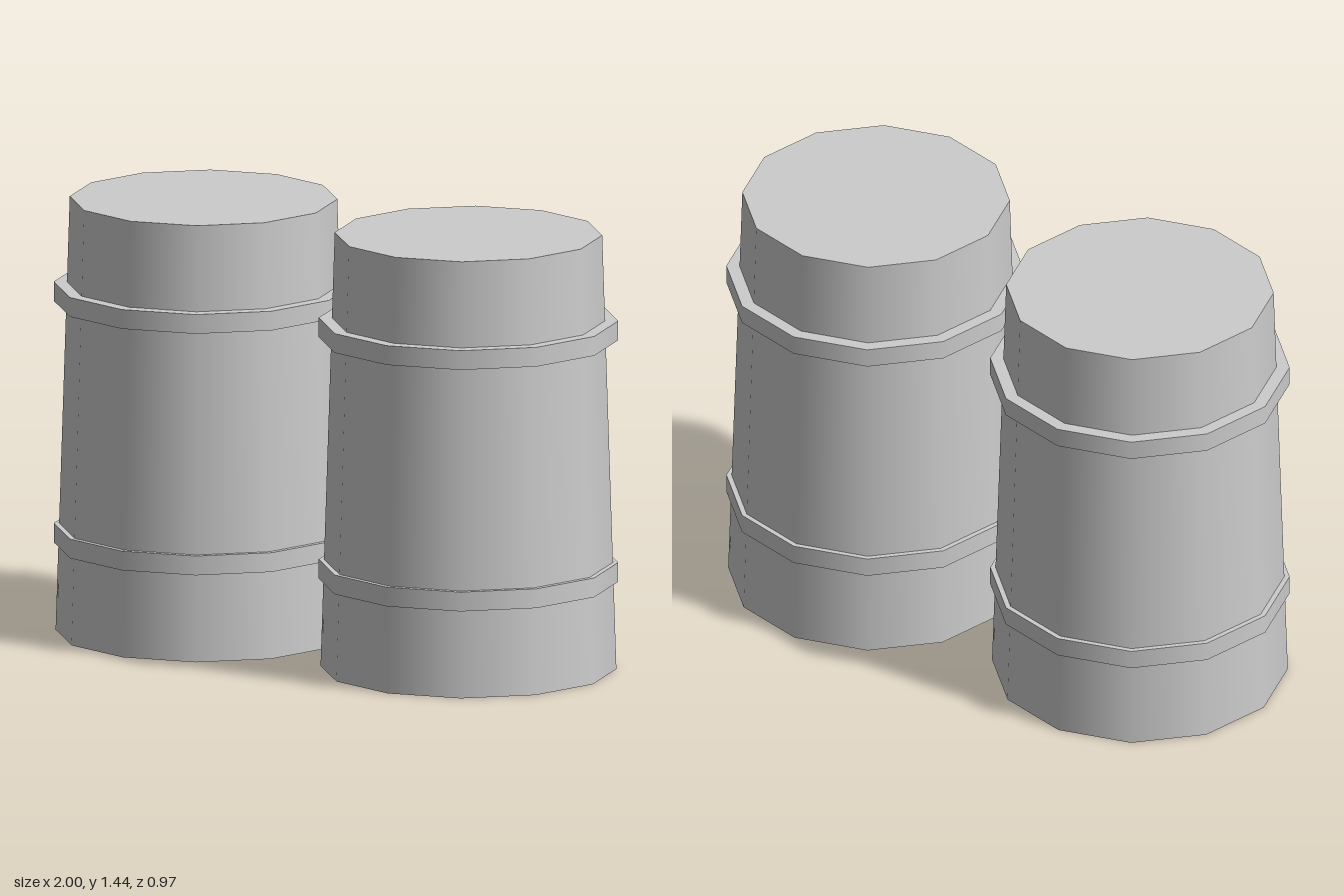
import * as THREE from 'three';

const SIDES = 12;
const HEIGHT = 1.44;
const HOOP_HEIGHT = 0.064;

export function createModel() {
  const model = new THREE.Group();
  model.name = 'barrelPair';

  const grey = new THREE.MeshStandardMaterial({ color: 0xcccccc });
  grey.name = 'light grey';

  // Tapered closed drum and the hoop shared by both barrels
  const bodyGeometry = new THREE.CylinderGeometry(0.435, 0.481, HEIGHT, SIDES);
  const hoopGeometry = new THREE.CylinderGeometry(0.487, 0.487, HOOP_HEIGHT, SIDES);

  const addPart = (parent, name, geometry, y) => {
    const mesh = new THREE.Mesh(geometry, grey);
    mesh.name = name;
    mesh.position.y = y;
    parent.add(mesh);
  };

  for (const [name, x] of [['leftBarrel', 0.513], ['rightBarrel', -0.513]]) {
    const barrel = new THREE.Group();
    barrel.name = name;
    barrel.position.x = x;
    addPart(barrel, 'body', bodyGeometry, HEIGHT / 2);
    addPart(barrel, 'lowerHoop', hoopGeometry, 0.322);
    addPart(barrel, 'upperHoop', hoopGeometry, 1.124);
    model.add(barrel);
  }

  return model;
}
